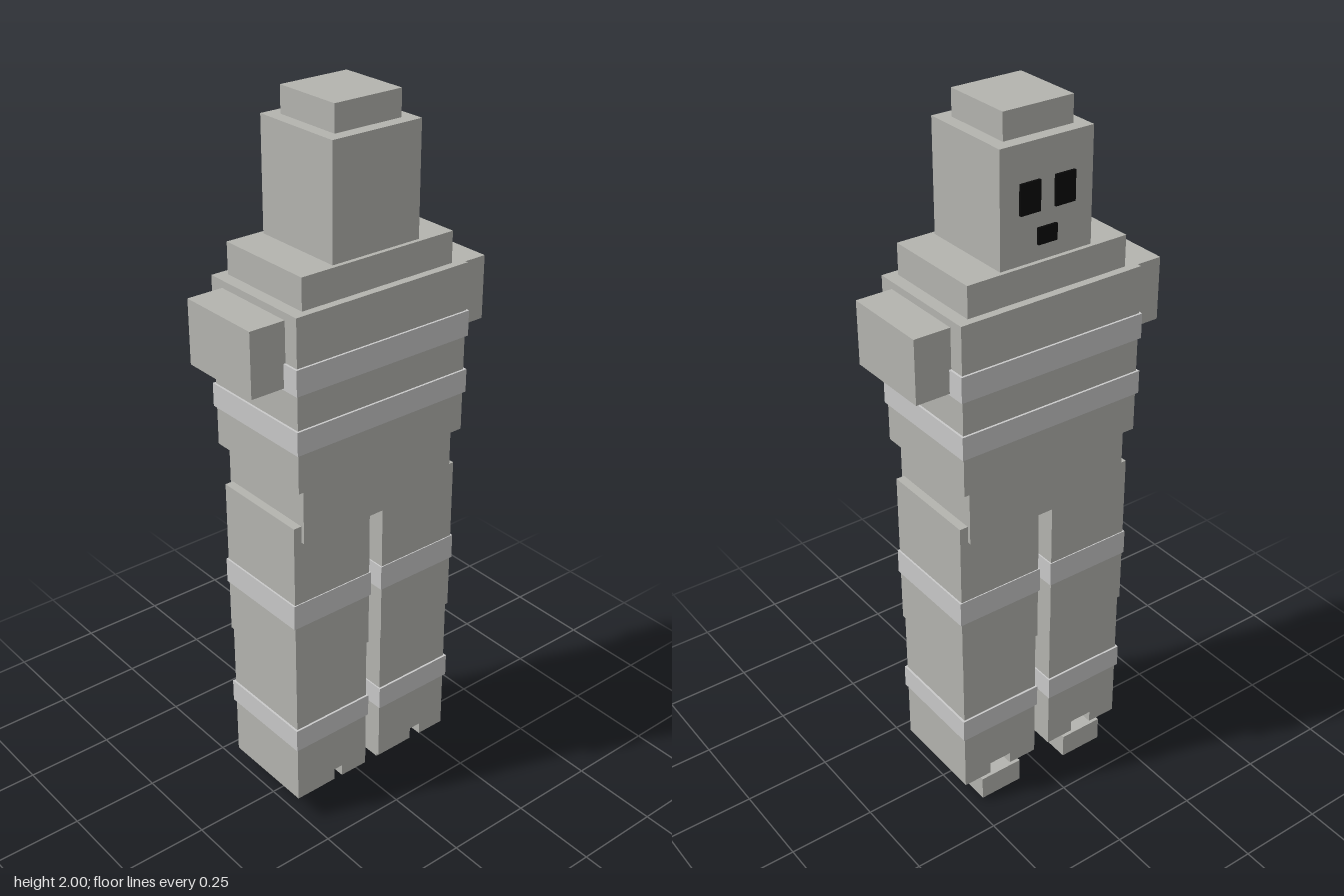
import * as THREE from 'three';

export function createModel() {
  const model = new THREE.Group();
  const material = (name, color) => {
    const m = new THREE.MeshStandardMaterial({ color });
    m.name = name;
    return m;
  };
  const stone = material('warm grey', 0xb4b4af);
  const pale = material('pale grey', 0xc9c9c9);
  const black = material('black', 0x080808);

  // Box given by its min and max corners
  const box = (name, mat, [x0, y0, z0], [x1, y1, z1], parent = model) => {
    const mesh = new THREE.Mesh(new THREE.BoxGeometry(x1 - x0, y1 - y0, z1 - z0), mat);
    mesh.position.set((x0 + x1) / 2, (y0 + y1) / 2, (z0 + z1) / 2);
    mesh.name = name;
    parent.add(mesh);
  };
  // Box centred on x and z
  const block = (name, mat, hx, hz, y0, y1) => box(name, mat, [-hx, y0, -hz], [hx, y1, hz]);

  // Head and trunk
  block('headCap', stone, 0.101, 0.101, 1.93, 2);
  block('head', stone, 0.135, 0.135, 1.63, 1.93);
  block('shoulders', stone, 0.237, 0.147, 1.545, 1.63);
  block('torso', stone, 0.271, 0.169, 1.075, 1.545);
  block('upperChestBand', pale, 0.277, 0.175, 1.345, 1.415);
  block('lowerChestBand', pale, 0.277, 0.175, 1.185, 1.25);
  block('hips', stone, 0.247, 0.156, 0.915, 1.075);

  // Face plates, on the -z side of the head
  box('mouth', black, [-0.028, 1.672, -0.142], [0.028, 1.715, -0.134]);

  // Lower leg outline with a slot cut through its bottom
  const legShape = new THREE.Shape([
    [0.025, 0.08], [0.113, 0.08], [0.113, 0.115], [0.181, 0.115],
    [0.181, 0.08], [0.267, 0.08], [0.267, 0.505], [0.025, 0.505],
  ].map(([x, y]) => new THREE.Vector2(x, y)));

  for (const side of [1, -1]) {
    const name = side > 0 ? 'left' : 'right';
    const part = (label, mat, [x0, y0, z0], [x1, y1, z1]) => box(name + label, mat,
      [Math.min(side * x0, side * x1), y0, z0], [Math.max(side * x0, side * x1), y1, z1]);

    part('Eye', black, [0.022, 1.757, -0.142], [0.08, 1.835, -0.134]);
    part('Arm', stone, [0.25, 1.35, -0.125], [0.373, 1.525, 0.125]);

    // Leg with its bands, ankle and foot
    part('UpperLeg', stone, [0.022, 0.505, -0.146], [0.271, 0.963, 0.146]);
    part('KneeBand', pale, [0.018, 0.66, -0.149], [0.276, 0.732, 0.149]);
    const geometry = new THREE.ExtrudeGeometry(legShape, { depth: 0.282, bevelEnabled: false });
    const lower = new THREE.Mesh(geometry.translate(-0.146, 0, -0.141), stone);
    lower.name = name + 'LowerLeg';
    lower.position.x = side * 0.146;
    part('ShinBand', pale, [0.021, 0.255, -0.147], [0.273, 0.322, 0.147]);
    part('Ankle', stone, [0.114, 0.06, -0.06], [0.18, 0.116, 0.068]);
    part('Foot', stone, [0.08, 0, -0.144], [0.211, 0.072, 0.069]);
    model.add(lower);
  }
  return model;
}
